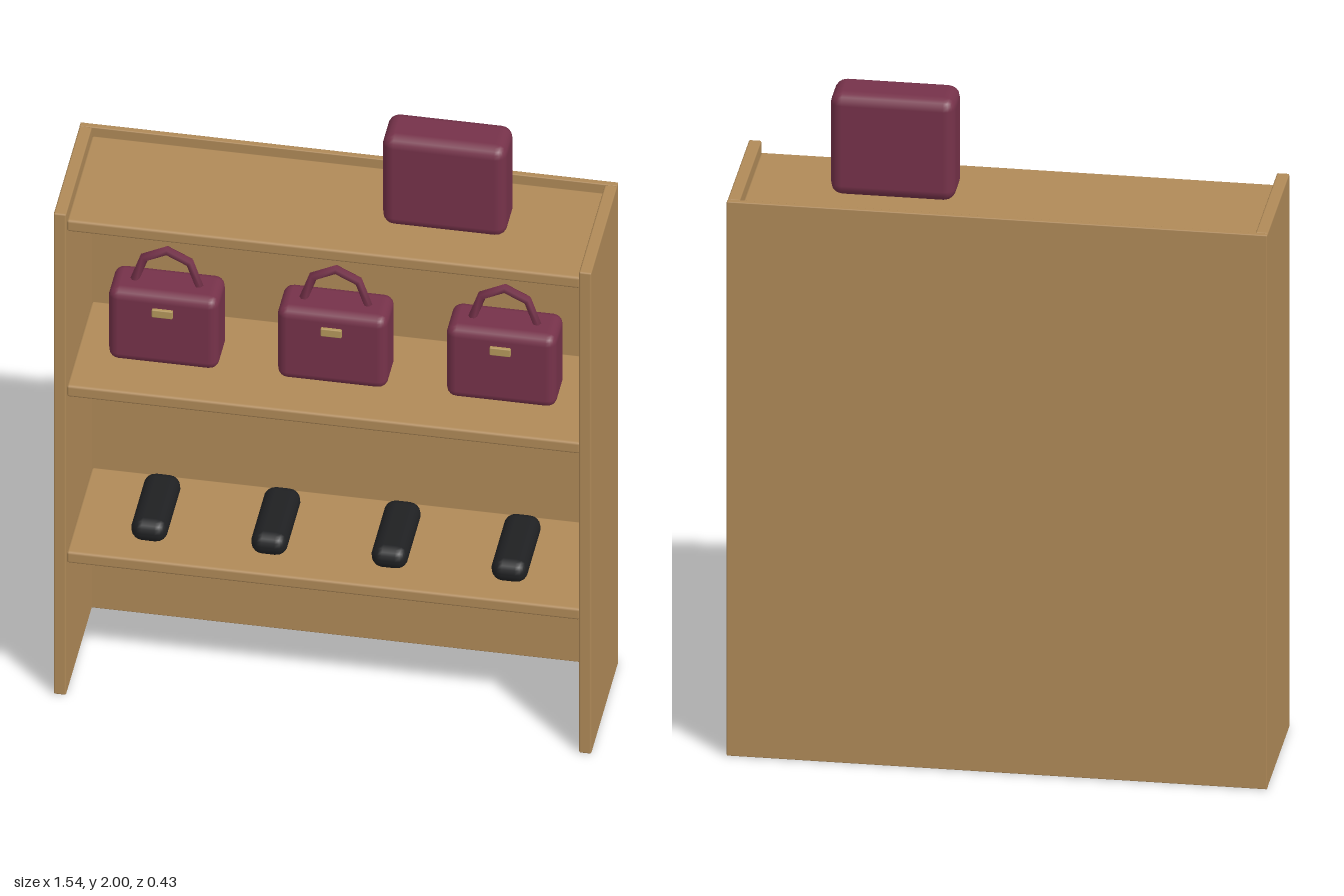
import * as THREE from 'three';
import { RoundedBoxGeometry } from 'three/addons/geometries/RoundedBoxGeometry.js';

const material = (name, color) => {
  const m = new THREE.MeshStandardMaterial({ color });
  m.name = name;
  return m;
};

export function createModel() {
  const wood = material('wood', 0xb08a58);
  const leather = material('burgundy leather', 0x76324a);
  const brass = material('brass', 0xb5985c);
  const black = material('black', 0x1f2022);

  const model = new THREE.Group();
  model.name = 'displayShelf';

  // Box with softened edges, given by its centre and size
  const block = (parent, name, mat, [w, h, d], [x, y, z], radius, segments = 1) => {
    const mesh = new THREE.Mesh(new RoundedBoxGeometry(w, h, d, segments, radius), mat);
    mesh.name = name;
    mesh.position.set(x, y, z);
    parent.add(mesh);
    return mesh;
  };

  // Cabinet: two sides, a back and three shelves
  const cabinet = new THREE.Group();
  cabinet.name = 'cabinet';
  model.add(cabinet);
  for (const side of [-1, 1]) {
    block(cabinet, side > 0 ? 'leftPanel' : 'rightPanel', wood,
      [0.036, 1.715, 0.41], [side * 0.751, 0.8575, 0.008], 0.005);
  }
  block(cabinet, 'backPanel', wood, [1.538, 1.715, 0.018], [0, 0.8575, -0.204], 0.003);
  for (const top of [0.502, 1.095, 1.685]) {
    block(cabinet, 'shelf', wood, [1.47, 0.04, 0.398], [0, top - 0.02, 0.001], 0.008);
  }

  // Handbags on the middle shelf
  for (const x of [-0.483, 0, 0.483]) {
    const bag = new THREE.Group();
    bag.name = 'handbag';
    bag.position.set(x, 1.097, 0);
    block(bag, 'bagBody', leather, [0.316, 0.252, 0.14], [0, 0.126, 0], 0.03, 2);
    block(bag, 'clasp', brass, [0.06, 0.027, 0.012], [0, 0.193, 0.073], 0.003);
    const handle = new THREE.Mesh(new THREE.TorusGeometry(0.092, 0.013, 6, 4, Math.PI), leather);
    handle.name = 'handle';
    handle.scale.y = 1.22;
    handle.position.y = 0.25;
    bag.add(handle);
    model.add(bag);
  }

  // Slim black cases on the lower shelf
  for (const x of [-0.515, -0.172, 0.172, 0.515]) {
    block(model, 'blackCase', black, [0.105, 0.072, 0.26], [x, 0.538, 0], 0.034, 2);
  }

  // Large case on top
  block(model, 'topCase', leather, [0.356, 0.315, 0.142], [0.32, 1.8425, 0], 0.034, 2);

  return model;
}
